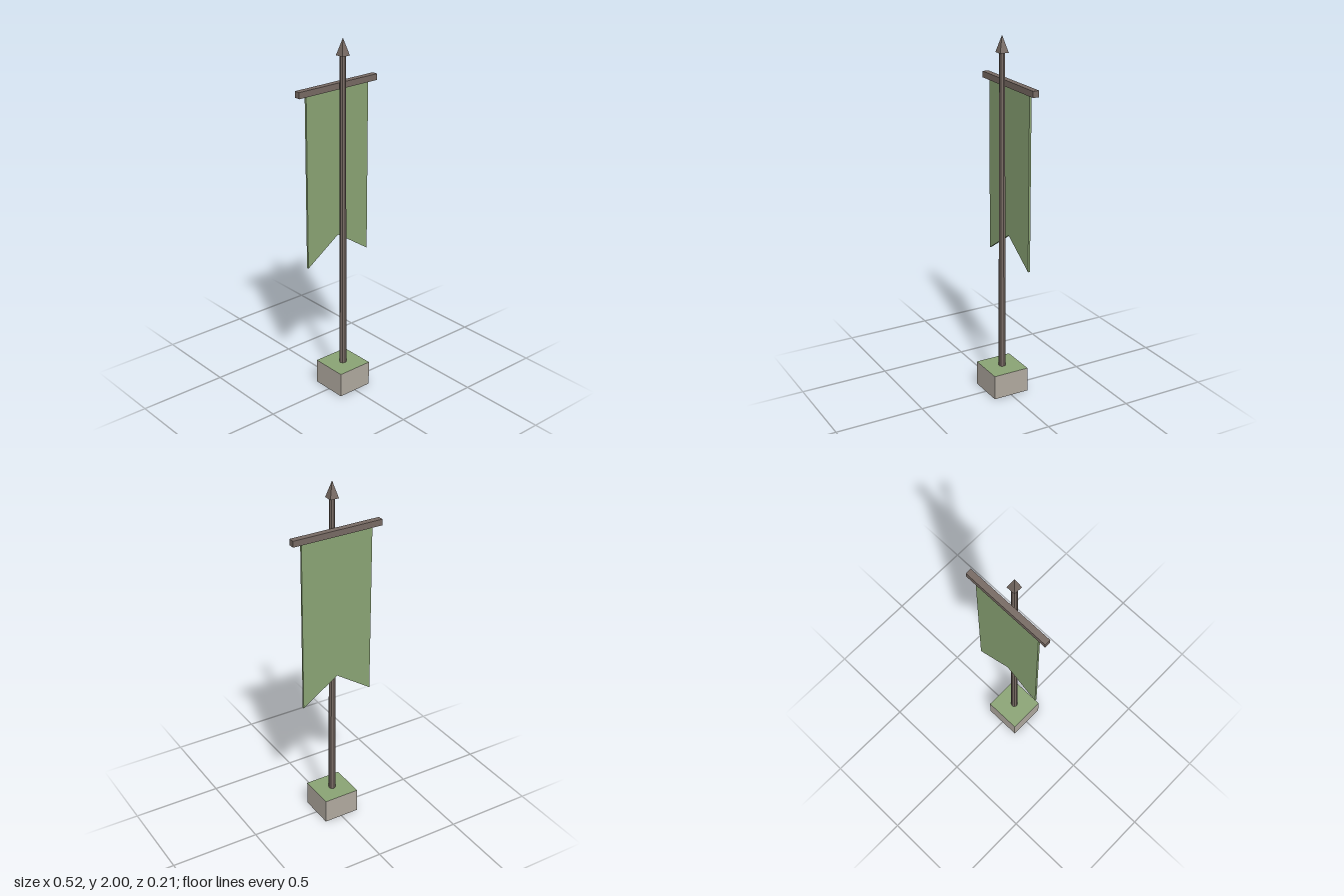
import * as THREE from 'three';

export function createModel() {
  const group = new THREE.Group();
  const mat = (name, color) => {
    const m = new THREE.MeshStandardMaterial({ color, flatShading: true, side: THREE.DoubleSide });
    m.name = name;
    return m;
  };
  const wood = mat('brown wood', 0x776a63);
  const stone = mat('pale stone', 0xb0a99f);
  const green = mat('sage green', 0x8aa374);

  const add = (name, geometry, material, x, y, z) => {
    const mesh = new THREE.Mesh(geometry, material);
    mesh.name = name;
    mesh.position.set(x, y, z);
    group.add(mesh);
    return mesh;
  };

  // Stone base: four walls with an open underside
  const half = 0.104, baseH = 0.14;
  for (let i = 0; i < 4; i++) {
    const a = (i * Math.PI) / 2;
    const wall = add('baseWall', new THREE.PlaneGeometry(half * 2, baseH), stone,
      Math.sin(a) * half, baseH / 2, Math.cos(a) * half);
    wall.rotation.y = a;
  }

  // Grassy top of the base
  const top = add('baseTop', new THREE.PlaneGeometry(half * 2, half * 2), green, 0, baseH, 0);
  top.rotation.x = -Math.PI / 2;

  // Slightly tapered pole
  const poleBottom = 0.135, poleTop = 1.915;
  add('pole', new THREE.CylinderGeometry(0.016, 0.02, poleTop - poleBottom, 8), wood,
    0, (poleBottom + poleTop) / 2, 0);

  // Four-sided pointed tip, its sides square to the axes
  const tip = new THREE.ConeGeometry(0.025 * Math.SQRT2, 0.09, 4);
  tip.rotateY(Math.PI / 4);
  add('poleTip', tip, wood, 0, 1.955, 0);

  // Crossbar behind the pole
  add('crossbar', new THREE.BoxGeometry(0.522, 0.034, 0.034), wood, 0, 1.743, -0.046);

  // Swallow-tailed banner
  const w = 0.208, thick = 0.012;
  const outline = new THREE.Shape([
    new THREE.Vector2(-w, 1.73),
    new THREE.Vector2(-w, 0.77),
    new THREE.Vector2(0, 0.91),
    new THREE.Vector2(w, 0.77),
    new THREE.Vector2(w, 1.73),
  ]);
  add('banner', new THREE.ExtrudeGeometry(outline, { depth: thick, bevelEnabled: false }), green,
    0, 0, -0.046 - thick / 2);

  return group;
}
